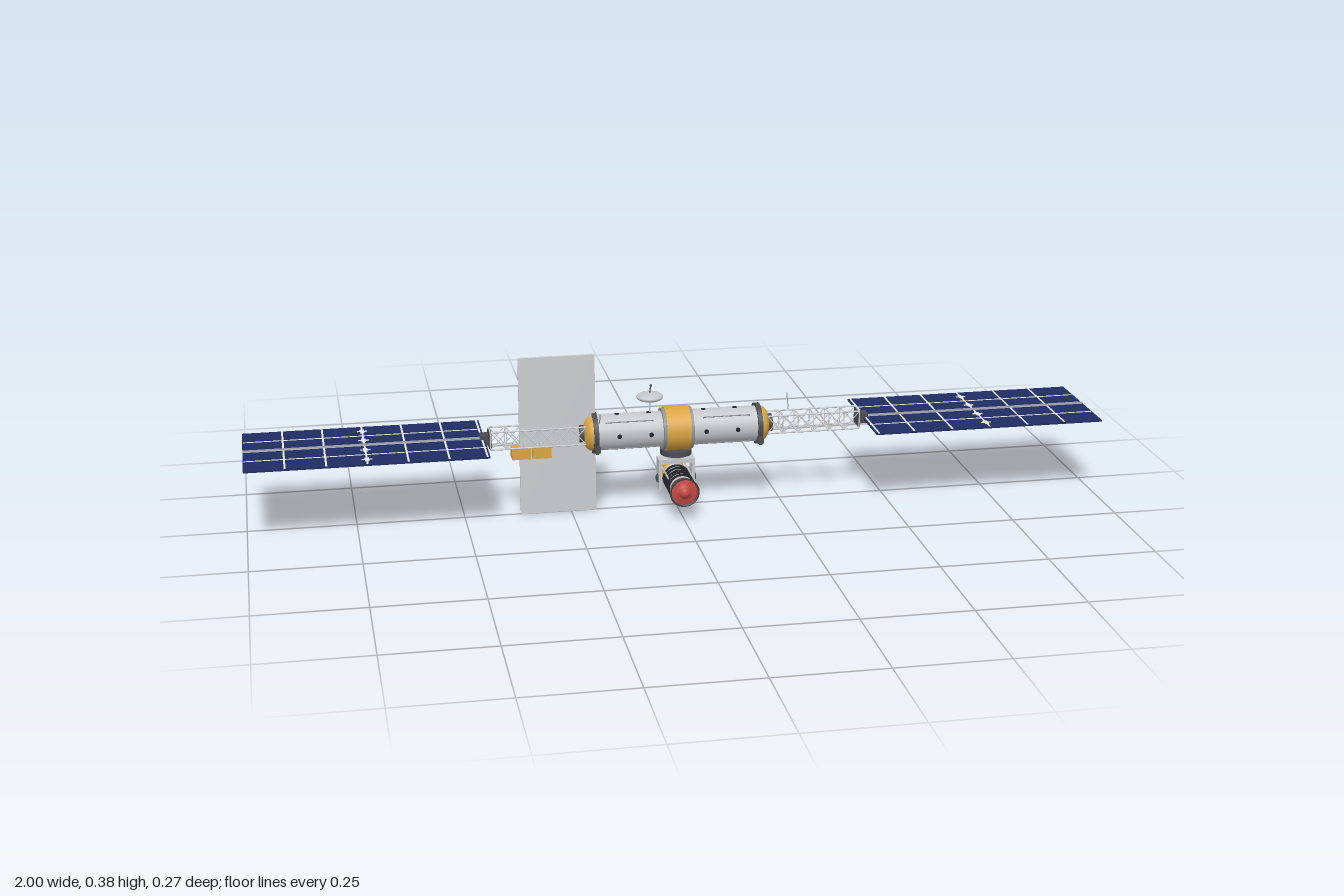
import * as THREE from 'three';
import { mergeGeometries } from 'three/addons/utils/BufferGeometryUtils.js';

const AXIS = 0.19; // height of the main axis
const mat = (name, color, side = THREE.FrontSide) =>
  Object.assign(new THREE.MeshStandardMaterial({ color, side }), { name });

const M = {
  hull: mat('hull grey', 0xc4c6ca),
  radiator: mat('radiator grey', 0xcbcdd0),
  truss: mat('truss grey', 0xd0d2d5),
  metal: mat('mid grey metal', 0x8e9196),
  dark: mat('dark grey', 0x4a4c51, THREE.DoubleSide),
  black: mat('black', 0x232428),
  gold: mat('gold foil', 0xd9a441),
  cell: mat('solar blue', 0x1f2b62),
  line: mat('pale line', 0xe6e8ea),
  red: mat('lens red', 0xc24843),
};

function add(parent, name, geo, material, x = 0, y = 0, z = 0) {
  const mesh = new THREE.Mesh(geo, material);
  mesh.name = name;
  mesh.position.set(x, y, z);
  parent.add(mesh);
  return mesh;
}

const box = (w, h, d, x = 0, y = 0, z = 0) => new THREE.BoxGeometry(w, h, d).translate(x, y, z);
const cylX = (r, len, x = 0, n = 40) =>
  new THREE.CylinderGeometry(r, r, len, n).rotateZ(-Math.PI / 2).translate(x, 0, 0);
const cylZ = (r, len, z = 0, n = 36) =>
  new THREE.CylinderGeometry(r, r, len, n).rotateX(Math.PI / 2).translate(0, 0, z);

// Round bar between two points
function strut(a, b, r, n = 6) {
  const p = new THREE.Vector3(...a), q = new THREE.Vector3(...b), d = q.clone().sub(p);
  const turn = new THREE.Quaternion().setFromUnitVectors(new THREE.Vector3(0, 1, 0), d.clone().normalize());
  return new THREE.CylinderGeometry(r, r, d.length(), n)
    .applyQuaternion(turn).translate(...p.add(q).multiplyScalar(0.5).toArray());
}

function lathe(points, n = 36) {
  return new THREE.LatheGeometry(points.map(([r, y]) => new THREE.Vector2(r, y)), n);
}

function buildHull() {
  const g = new THREE.Group();
  g.name = 'hull';
  g.position.y = AXIS;
  add(g, 'pressureHull', cylX(0.042, 0.4), M.hull);
  add(g, 'goldBand', cylX(0.052, 0.058), M.gold);
  const collars = [], trim = [], rails = [], windows = [], pods = [];
  for (const s of [-1, 1]) {
    trim.push(cylX(0.0495, 0.007, s * 0.0325));
    collars.push(cylX(0.0485, 0.011, s * 0.194));
    // Domed end and docking ring
    const dome = lathe([[0.042, 0], [0.041, 0.006], [0.037, 0.012], [0.03, 0.017], [0.02, 0.02], [0, 0.021]]);
    add(g, 'endDome', dome.rotateZ(-s * Math.PI / 2), M.gold, s * 0.1995);
    add(g, 'dockingRing', cylX(0.021, 0.014, s * 0.222), M.dark);
    // Rails on four sides, windows between them
    for (let i = 0; i < 4; i++) {
      const a = Math.PI / 4 + i * Math.PI / 2;
      const at = (x, r) => [x, Math.sin(a) * r, Math.cos(a) * r];
      rails.push(strut(at(s * 0.06, 0.0455), at(s * 0.17, 0.0455), 0.0013));
      for (const x of [0.06, 0.17]) rails.push(strut(at(s * x, 0.04), at(s * x, 0.0455), 0.0013));
      for (const x of [0.065, 0.14])
        windows.push(new THREE.CylinderGeometry(0.0055, 0.0055, 0.003, 16)
          .translate(s * x, 0.0415, 0).rotateX(i * Math.PI / 2));
    }
    // Thruster pods low on both flanks
    for (const t of [-1, 1]) {
      pods.push(box(0.014, 0.013, 0.012, s * 0.193, -0.028, t * 0.047));
      pods.push(strut([s * 0.193, -0.038, t * 0.048], [s * 0.193, -0.018, t * 0.048], 0.004, 10));
    }
  }
  add(g, 'bandTrim', mergeGeometries(trim), M.metal);
  add(g, 'collars', mergeGeometries(collars), M.dark);
  add(g, 'handRails', mergeGeometries(rails), M.metal);
  add(g, 'windows', mergeGeometries(windows), M.black);
  add(g, 'thrusterPods', mergeGeometries(pods), M.dark);
  return g;
}

function buildTruss(s) {
  const g = new THREE.Group();
  g.name = s > 0 ? 'leftTruss' : 'rightTruss';
  g.position.y = AXIS;
  const x0 = 0.215, x1 = 0.438, bays = 6, h = 0.021, bars = [];
  for (const y of [-h, h]) for (const z of [-h, h]) bars.push(strut([s * x0, y, z], [s * x1, y, z], 0.002));
  for (let i = 0; i <= bays; i++) {
    const x = s * (x0 + (x1 - x0) * i / bays), nx = s * (x0 + (x1 - x0) * (i + 1) / bays);
    for (const t of [-h, h]) {
      bars.push(strut([x, -h, t], [x, h, t], 0.0014), strut([x, t, -h], [x, t, h], 0.0014));
      if (i < bays) bars.push(strut([x, -h, t], [nx, h, t], 0.0012), strut([x, h, t], [nx, -h, t], 0.0012));
    }
  }
  add(g, 'trussFrame', mergeGeometries(bars), M.truss);
  add(g, 'rotaryJoint', mergeGeometries([box(0.022, 0.024, 0.026, s * 0.45, 0, 0),
    box(0.006, 0.038, 0.038, s * 0.438, 0, 0)]), M.dark);
  return g;
}

function buildSolarWing(s) {
  const g = new THREE.Group();
  g.name = s > 0 ? 'leftSolarWing' : 'rightSolarWing';
  g.position.set(s * 0.725, AXIS, 0);
  const len = 0.55, wide = 0.27, lines = [];
  add(g, 'solarBlanket', box(len, 0.0036, wide), M.cell);
  for (const y of [-0.002, 0.002]) {
    for (let i = 1; i < 6; i++) lines.push(box(0.0045, 0.0008, wide - 0.004, -len / 2 + len * i / 6, y, 0));
    lines.push(box(0.0045, 0.0008, wide - 0.004, -s * (len / 2 - 0.006), y, 0));
    for (const z of [-0.067, 0.067]) lines.push(box(len - 0.004, 0.0008, 0.0045, 0, y, z));
    // Fold hinges across the middle
    for (const z of [-0.1, -0.034, 0.034, 0.1])
      lines.push(box(0.024, 0.0012, 0.006, 0, y, z), box(0.01, 0.0012, 0.024, 0, y, z));
  }
  add(g, 'cellLines', mergeGeometries(lines), M.line);
  add(g, 'wingMast', cylX(0.006, len, 0, 12), M.metal);
  return g;
}

function buildTelescope() {
  const g = new THREE.Group();
  g.name = 'telescope';
  add(g, 'turntable', new THREE.CylinderGeometry(0.037, 0.037, 0.013, 36), M.dark, 0, 0.134, 0);
  add(g, 'neck', new THREE.CylinderGeometry(0.017, 0.017, 0.02, 24), M.hull, 0, 0.12, 0);
  add(g, 'yoke', mergeGeometries([box(0.086, 0.01, 0.034, 0, 0.112, 0),
    box(0.007, 0.072, 0.034, -0.0395, 0.079, 0), box(0.007, 0.072, 0.034, 0.0395, 0.079, 0)]), M.hull);
  const tube = new THREE.Group();
  tube.name = 'telescopeTube';
  tube.position.y = 0.068;
  g.add(tube);
  for (const s of [-1, 1]) {
    add(tube, 'pivot', new THREE.SphereGeometry(0.011, 20, 12).scale(0.6, 1, 1), M.dark, s * 0.042);
    add(tube, 'sideRail', strut([s * 0.029, 0.018, -0.04], [s * 0.029, 0.018, 0.06], 0.002), M.hull);
  }
  add(tube, 'barrel', cylZ(0.0285, 0.109, 0.0365), M.hull);
  add(tube, 'rearHousing', lathe([[0, -0.061], [0.0295, -0.061], [0.0297, -0.017], [0, -0.017]])
    .rotateX(Math.PI / 2), M.gold);
  add(tube, 'barrelRings', mergeGeometries([0.007, 0.025, 0.043, 0.058, 0.075]
    .map(z => cylZ(0.0325, 0.004, z))), M.black);
  add(tube, 'redRing', cylZ(0.0295, 0.004, 0.092), M.red);
  add(tube, 'sunShade', lathe([[0.027, 0.093], [0.03, 0.094], [0.035, 0.113], [0.0315, 0.114],
    [0.03, 0.108]]).rotateX(Math.PI / 2), M.dark);
  add(tube, 'lens', lathe([[0.031, 0.109], [0.023, 0.111], [0.0135, 0.1125], [0.0125, 0.117],
    [0.009, 0.122], [0.004, 0.1245], [0, 0.125]]).rotateX(Math.PI / 2), M.red);
  return g;
}

function buildDish() {
  const g = new THREE.Group();
  g.name = 'dishAntenna';
  g.position.set(-0.062, 0, 0);
  add(g, 'dishMast', strut([0, 0.228, 0], [0, 0.265, 0], 0.002, 10), M.hull);
  add(g, 'dish', new THREE.SphereGeometry(0.0315, 36, 18).scale(1, 0.34, 1), M.hull, 0, 0.27, 0);
  add(g, 'feed', mergeGeometries([strut([0, 0.28, 0], [0.003, 0.298, 0], 0.0015),
    new THREE.SphereGeometry(0.003, 12, 8).translate(0.003, 0.297, 0)]), M.dark);
  return g;
}

function buildRadiator() {
  const g = new THREE.Group();
  g.name = 'radiator';
  g.position.set(-0.28, AXIS, 0);
  add(g, 'radiatorPanel', box(0.178, 0.38, 0.006), M.radiator);
  add(g, 'radiatorSpine', box(0.005, 0.378, 0.002, 0, 0, -0.0035), M.dark);
  return g;
}

export function createModel() {
  const model = new THREE.Group();
  model.name = 'spaceStation';
  model.add(buildHull(), buildTelescope(), buildDish(), buildRadiator());
  for (const s of [-1, 1]) model.add(buildTruss(s), buildSolarWing(s));
  // Equipment boxes under the right truss
  for (const x of [-0.366, -0.318]) add(model, 'equipmentBox', box(0.044, 0.026, 0.032), M.gold, x, 0.152, 0);
  // Whip aerials
  add(model, 'whipAerials', mergeGeometries([
    strut([0.275, 0.21, -0.021], [0.275, 0.248, -0.039], 0.0012),
    strut([-0.185, 0.218, 0.027], [-0.185, 0.245, 0.039], 0.0012)]), M.metal);
  return model;
}
